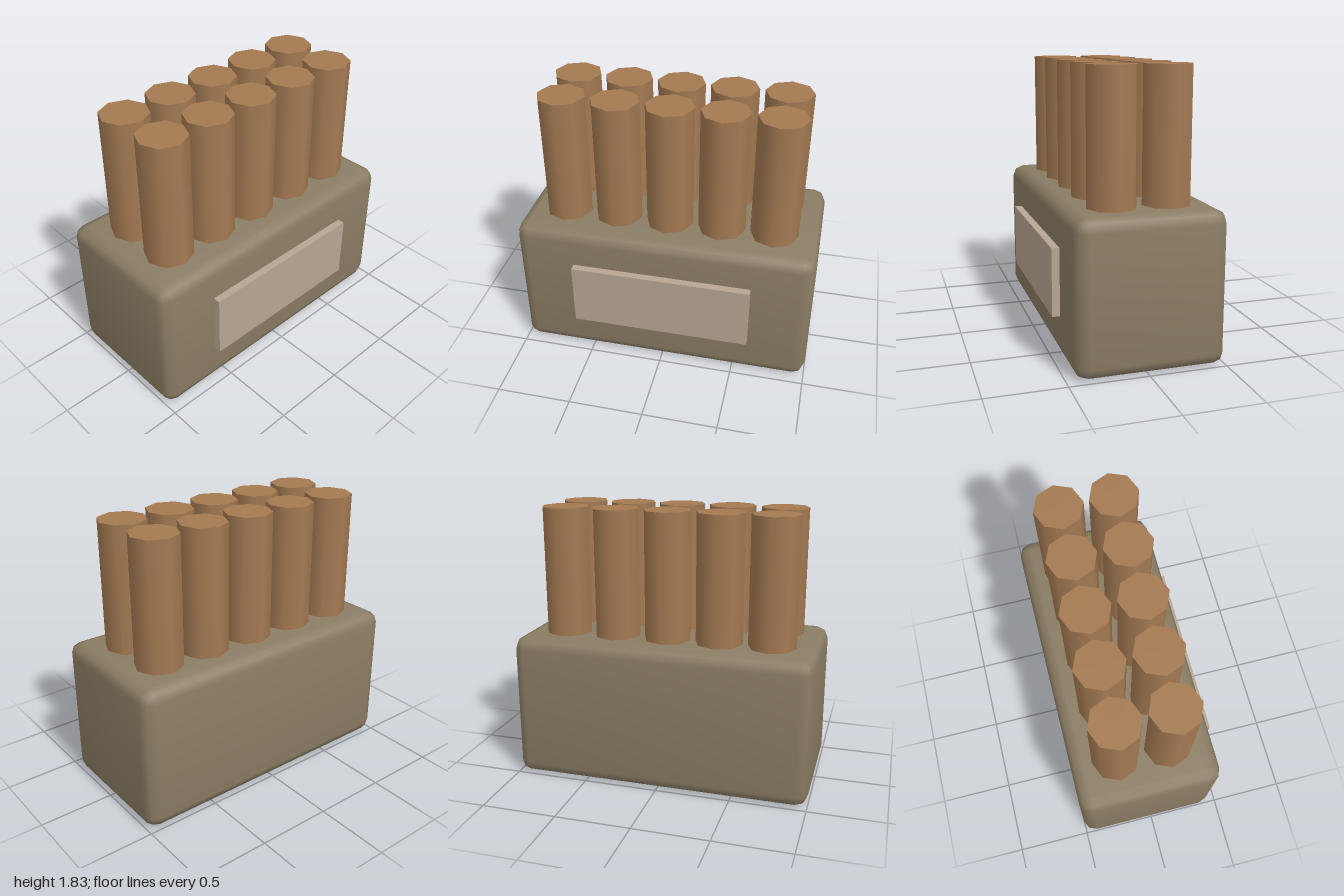
import * as THREE from 'three';
import { RoundedBoxGeometry } from 'three/addons/geometries/RoundedBoxGeometry.js';

export function createModel() {
  const group = new THREE.Group();
  const olive = new THREE.MeshStandardMaterial({ name: 'olive', color: 0x8b7d64 });
  const brown = new THREE.MeshStandardMaterial({ name: 'brown', color: 0xa47a52 });
  const beige = new THREE.MeshStandardMaterial({ name: 'beige', color: 0xb8a692 });

  const add = (name, geometry, material, x, y, z) => {
    const mesh = new THREE.Mesh(geometry, material);
    mesh.name = name;
    mesh.position.set(x, y, z);
    group.add(mesh);
    return mesh;
  };

  // Block with two-step rounded edges; normals lean outwards for soft shading
  const block = new RoundedBoxGeometry(2, 0.975, 0.95, 1, 0.08);
  const p = block.attributes.position, n = block.attributes.normal;
  const v = new THREE.Vector3();
  for (let i = 0; i < p.count; i++) {
    v.fromBufferAttribute(n, i);
    v.x += 0.1 * Math.sign(p.getX(i));
    v.y += 0.1 * Math.sign(p.getY(i));
    v.z += 0.1 * Math.sign(p.getZ(i));
    v.normalize();
    n.setXYZ(i, v.x, v.y, v.z);
  }
  add('block', block, olive, 0, 0.4875, -0.025);

  // Raised panel on the front
  add('frontPanel', new THREE.BoxGeometry(1.2, 0.44, 0.05), beige, 0, 0.5, 0.475);

  // Two rows of five eight-sided rods standing on the block
  const rod = new THREE.CylinderGeometry(0.158, 0.158, 0.855, 8);
  for (const z of [-0.2, 0.15]) {
    for (let i = -2; i <= 2; i++) {
      add(z < 0 ? 'backRod' : 'frontRod', rod, brown, i * 0.35, 1.3975, z);
    }
  }
  return group;
}
